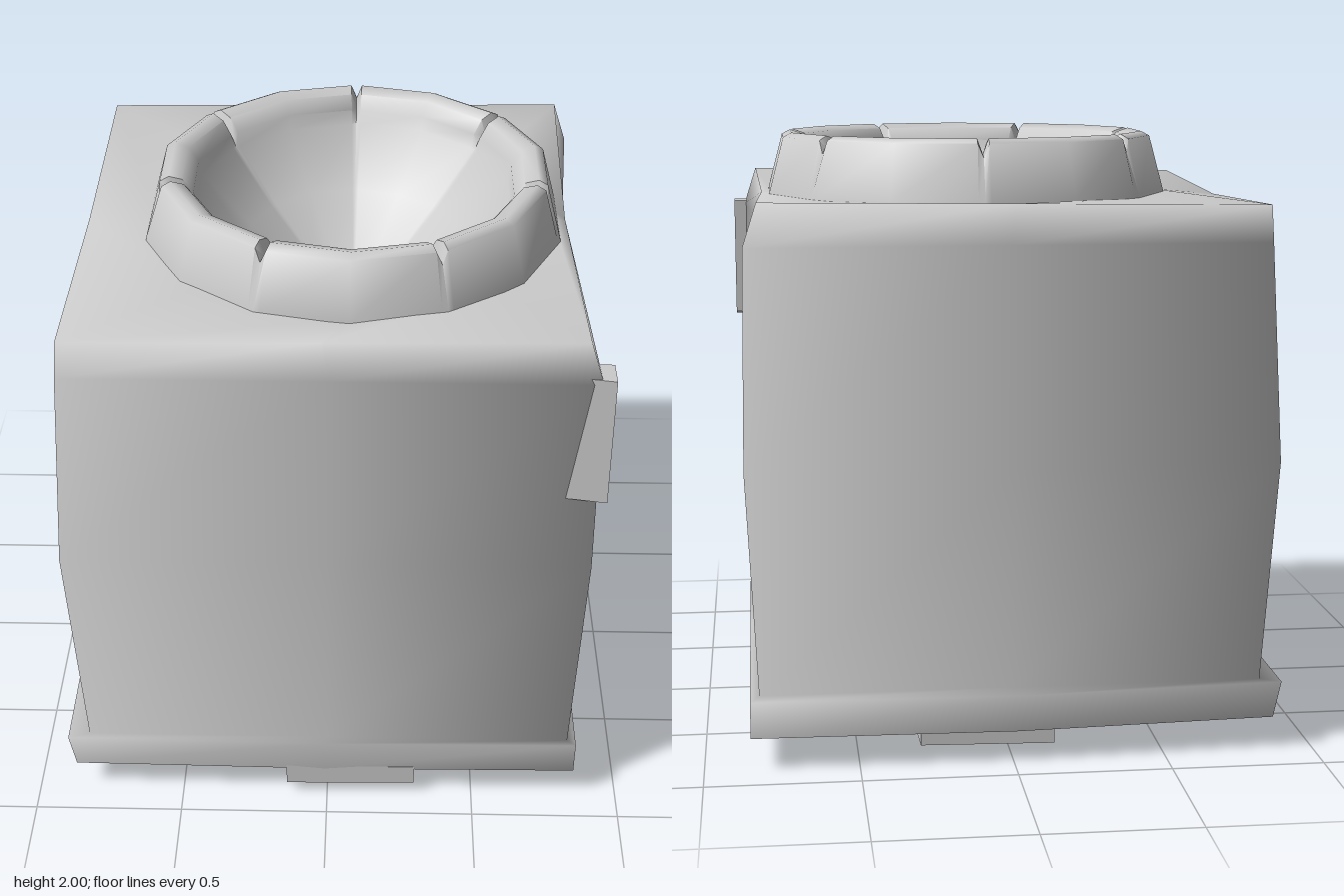
import * as THREE from 'three';
import { mergeVertices, toCreasedNormals } from 'three/addons/utils/BufferGeometryUtils.js';

const material = new THREE.MeshStandardMaterial({ color: 0xcccccc, side: THREE.DoubleSide });
const CX = 0.07, CZ = 0.03; // axis of the barrel

function addMesh(group, name, geometry) {
  const mesh = new THREE.Mesh(geometry, material);
  mesh.name = name;
  group.add(mesh);
}

const at = (u, a, b) => THREE.MathUtils.lerp(a, b, (u + 1) / 2);

// Skin over closed rings of points, listed from the outside bottom upwards
function loft(rings) {
  const n = rings[0].length, index = [];
  for (let j = 0; j < rings.length - 1; j++) {
    for (let i = 0; i < n; i++) {
      const a = j * n + i, b = j * n + (i + 1) % n;
      index.push(a, a + n, b, b, a + n, b + n);
    }
  }
  const geo = new THREE.BufferGeometry();
  geo.setAttribute('position', new THREE.Float32BufferAttribute(rings.flat(2), 3));
  geo.setIndex(index);
  geo.computeVertexNormals();
  return geo;
}

// Box on a -1..1 grid whose vertices are moved by a rule
function shapedBox(segments, rule, crease) {
  let geo = new THREE.BoxGeometry(2, 2, 2, ...segments);
  geo.deleteAttribute('uv');
  geo.deleteAttribute('normal');
  geo = mergeVertices(geo);
  const p = geo.attributes.position;
  for (let i = 0; i < p.count; i++) p.setXYZ(i, ...rule(p.getX(i), p.getY(i), p.getZ(i)));
  return toCreasedNormals(geo, crease);
}

// Square shell, open below, with a flange at the foot, dented sides and a round hole on top
function shellGeometry() {
  const square = [[-1, -1], [0, -1], [1, -1], [1, 0], [1, 1], [0, 1], [-1, 1], [-1, 0]];
  // y, left, right, back, front, dent of the right side, dent of the left side
  const rows = [
    [0.107, -0.868, 0.85, -0.87, 0.89, 0, 0],
    [0.235, -0.888, 0.85, -0.895, 0.905, 0, 0],
    [0.245, -0.815, 0.82, -0.855, 0.89, 0.06, 0.01],
    [0.97, -0.87, 0.855, -0.85, 0.87, 0.105, 0.04],
    [1.68, -0.832, 0.845, -0.838, 0.888, 0.07, 0.01],
    [1.81, -0.825, 0.8, -0.835, 0.875, 0.02, 0]
  ];
  const rings = rows.map(([y, left, right, back, front, dentR, dentL], j) => square.map(([x, z]) => {
    const foot = j < 2 ? 1 : 0, middle = 1 - Math.abs(z);
    const sag = j === 5 ? x * 0.01 - 0.03 * middle : 0;
    const bow = foot * 0.02 * (1 - Math.abs(x));
    const skew = foot * 0.03 * Math.max(0, -x);
    return [at(x, left + dentL * middle, right - dentR * middle), y + sag, at(z, back - bow + skew, front + bow / 2)];
  }));
  rings.push(square.map((_, i) => {
    const a = -Math.PI * 0.75 + i * Math.PI / 4;
    return [CX + Math.cos(a) * 0.67, 1.79, CZ + Math.sin(a) * 0.67];
  }));
  return loft(rings);
}

// Bulging barrel, open below, that shows through one side of the shell;
// its rolled rim has seven notches and falls into a conical bowl
function barrelGeometry() {
  // radius, height, drop at a notch
  const profile = [
    [0.6, 0.1, 0], [0.715, 0.55, 0], [0.805, 1.03, 0], [0.75, 1.5, 0], [0.7, 1.8, 0],
    [0.65, 1.985, 0.045], [0.62, 2, 0.05], [0.575, 1.985, 0.05], [0.54, 1.94, 0.03], [0.53, 1.89, 0],
    [0.36, 1.72, 0], [0.18, 1.57, 0], [0, 1.47, 0]
  ];
  const stations = [], step = Math.PI * 2 / 7, cut = 0.03;
  for (let k = 0; k < 7; k++) {
    const a = -Math.PI / 2 + k * step;
    stations.push([a - cut, 0], [a, 1], [a + cut, 0], [a + step / 2, 0]);
  }
  const rings = profile.map(([r, y, drop]) => stations.map(([a, notch], i) => {
    const flat = i % 2 === 0 ? 0.994 : 1; // stay on the straight sides of the outline
    return [CX + Math.cos(a) * r * flat, y - notch * drop, CZ + Math.sin(a) * r * flat];
  }));
  return toCreasedNormals(loft(rings), 0.95);
}

export function createModel() {
  const model = new THREE.Group();
  model.name = 'squareVessel';

  addMesh(model, 'shell', shellGeometry());
  addMesh(model, 'barrel', barrelGeometry());

  // Lip swelling out of the upper front corner of the shell
  addMesh(model, 'cornerLip', shapedBox([1, 1, 1], (x, y, z) => [
    x > 0 ? 0.883 : 0.6,
    y > 0 ? 1.7 : 1.25 + (z > 0 ? 0 : 0.02),
    z > 0 ? (x > 0 ? 0.9 : 0.85) : 0.8
  ], 0.6));

  // Bowed runner across the open bottom
  addMesh(model, 'runner', shapedBox([1, 1, 3], (x, y, z) => {
    const k = Math.round((z + 1) * 1.5);
    const zs = [-0.83, -0.3, 0.35, 0.9][k];
    const low = [0.042, 0, 0.01, 0.04][k];
    return [at(x, -0.14, 0.3), y > 0 ? 0.12 : low + (x > 0 ? 0.008 : 0), zs];
  }, 0.6));

  return model;
}
